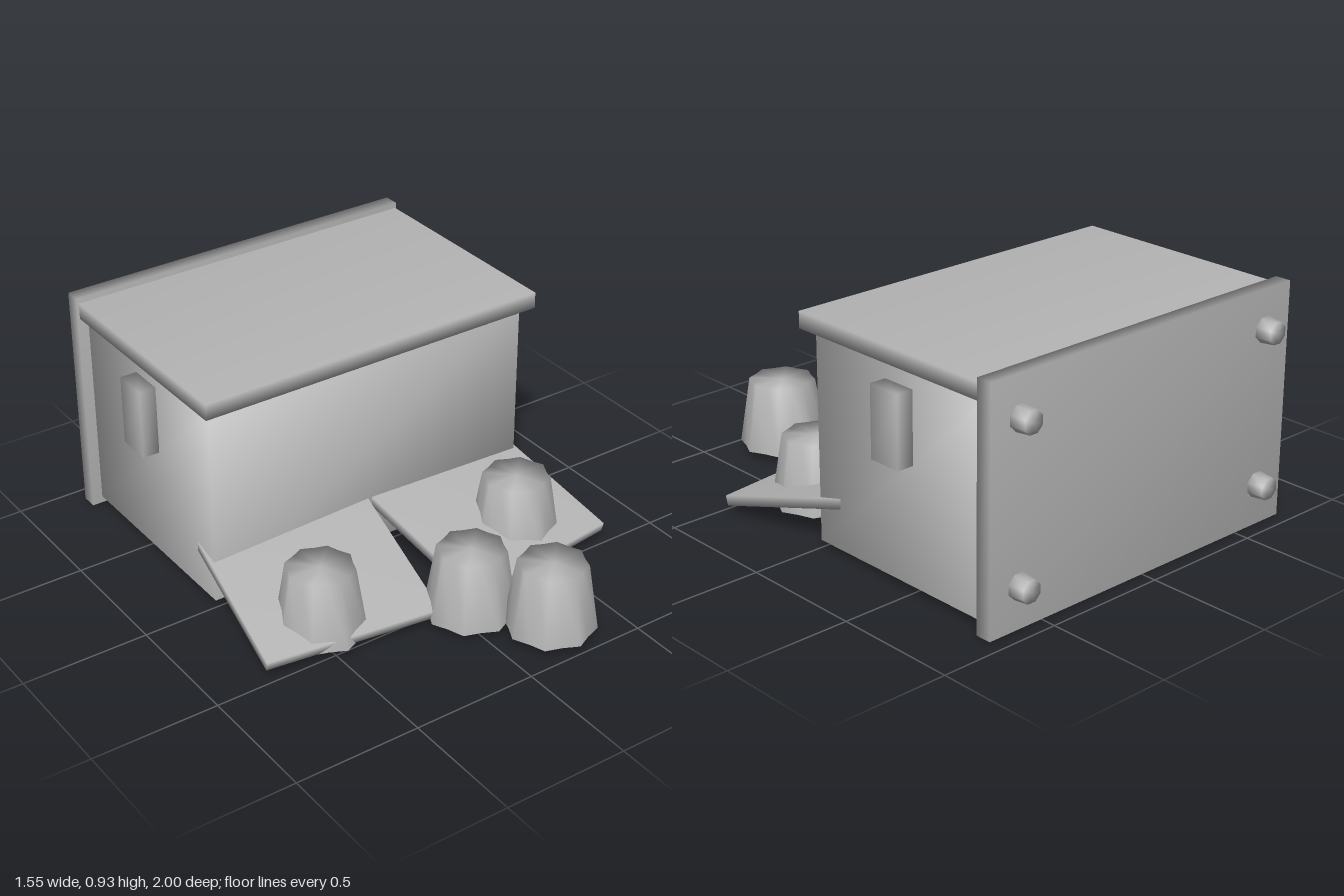
import * as THREE from 'three';
import { mergeVertices } from 'three/addons/utils/BufferGeometryUtils.js';

const grey = new THREE.MeshStandardMaterial({ color: 0xb4b4b4, side: THREE.DoubleSide });
grey.name = 'grey';

// Share vertices so that shading runs smoothly over the edges
function soften(geometry) {
  geometry.deleteAttribute('normal');
  geometry.deleteAttribute('uv');
  const soft = mergeVertices(geometry, 1e-4);
  soft.computeVertexNormals();
  return soft;
}

export function createModel() {
  const model = new THREE.Group();
  model.name = 'nestBox';

  function add(name, geometry, x, y, z) {
    const mesh = new THREE.Mesh(soften(geometry), grey);
    mesh.name = name;
    mesh.position.set(x, y, z);
    model.add(mesh);
    return mesh;
  }
  const box = (w, h, d) => new THREE.BoxGeometry(w, h, d);

  // Body, open underneath (the fourth face of the box is dropped)
  const body = box(1.4, 0.82, 0.87);
  body.setIndex([...body.index.array].filter((_, i) => i < 18 || i > 23));
  body.clearGroups();
  add('body', body, 0, 0.44, -0.435);

  // Lid and back plate
  add('lid', box(1.47, 0.065, 0.92), 0, 0.878, -0.41);
  add('backPlate', box(1.484, 0.93, 0.065), 0, 0.465, -0.905);

  for (const side of [-1, 1]) {
    const label = side > 0 ? 'left' : 'right';

    // Side handles
    add(label + 'Handle', box(0.07, 0.28, 0.14), side * 0.733, 0.63, -0.44);

    // Bolts on the back plate
    for (const y of [0.165, 0.775]) {
      const bolt = new THREE.CylinderGeometry(0.044, 0.051, 0.065, 8);
      bolt.rotateY(Math.PI / 8).rotateX(-Math.PI / 2);
      add(label + 'Bolt', bolt, side * 0.61, y, -0.968);
    }

    // Sloping flaps that pass through the front wall into the body
    const flap = add(label + 'Flap', box(0.7, 0.04, 0.87), side * 0.375, 0.165, 0.1);
    flap.rotation.set(0.265, side * 0.13, 0, 'YXZ');
  }

  // Upturned fluted cups, open below
  for (const [x, z] of [[-0.47, 0.36], [0.485, 0.285], [0.045, 0.58], [0.23, 0.82]]) {
    const profile = [[0.175, 0.03], [0.132, 0.3], [0, 0.3]].map(([r, y]) => new THREE.Vector2(r, y));
    const cup = new THREE.LatheGeometry(profile, 16);
    const pos = cup.attributes.position;
    for (let i = 0; i < pos.count; i++) {
      // every second column is drawn in to form a flute
      const k = Math.floor(i / profile.length) % 2 ? 0.9 : 1;
      pos.setX(i, pos.getX(i) * k);
      pos.setZ(i, pos.getZ(i) * k);
    }
    add('cup', cup, x, 0, z);
  }

  return model;
}
